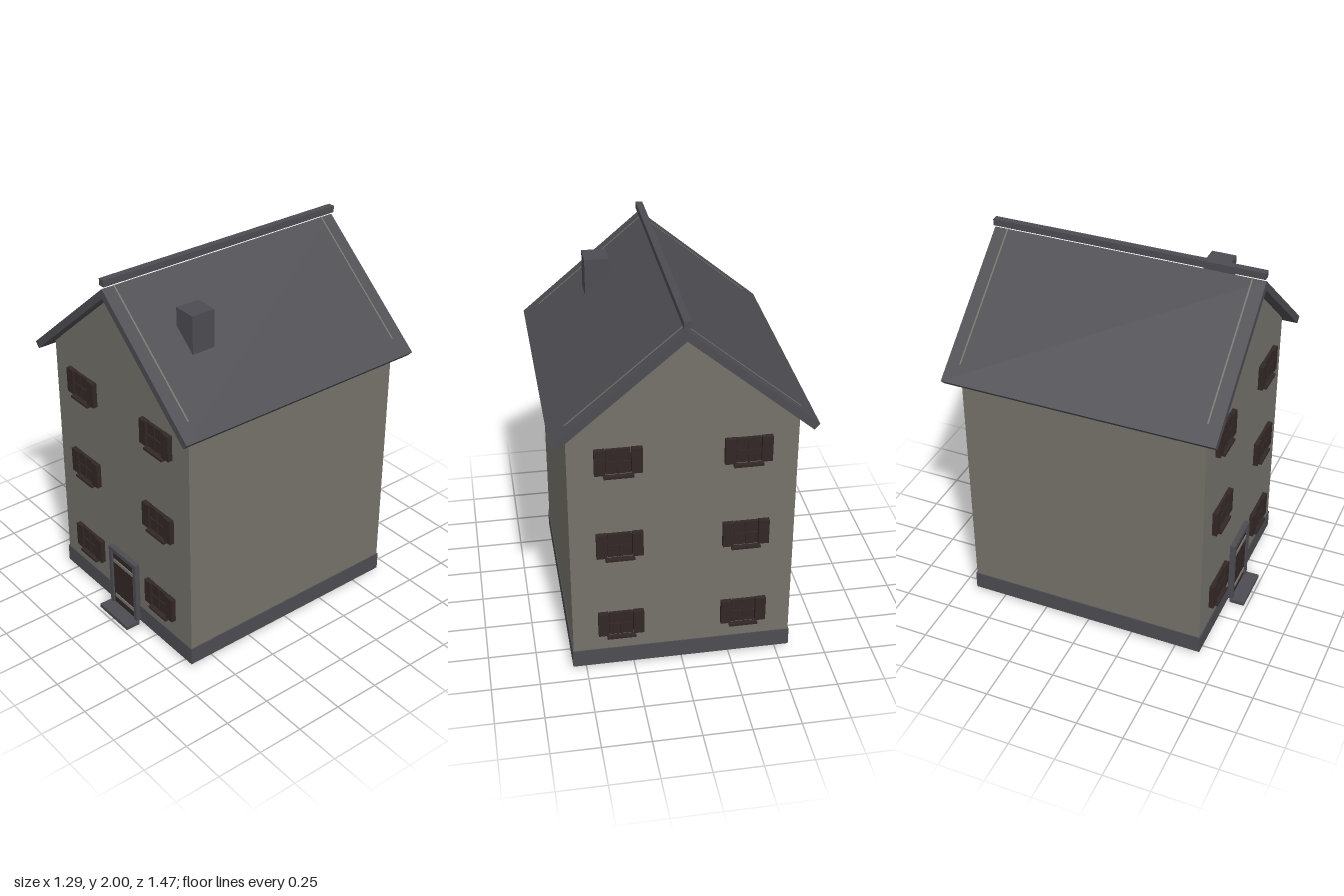
import * as THREE from 'three';

const mat = (name, color) => {
  const m = new THREE.MeshStandardMaterial({ color });
  m.name = name;
  return m;
};

export function createModel() {
  const house = new THREE.Group();
  house.name = 'house';
  const plaster = mat('taupe plaster', 0x75726a);
  const slate = mat('slate grey', 0x4d4c52);
  const wood = mat('dark brown wood', 0x332727);
  const metal = mat('pale trim', 0x7b766f);

  const zMid = -0.0125; // body sits slightly back to leave room for the doorstep
  const wallHalf = 0.649;

  // Box given by its limits on each axis
  const box = (parent, name, m, [x0, x1], [y0, y1], [z0, z1]) => {
    const mesh = new THREE.Mesh(new THREE.BoxGeometry(x1 - x0, y1 - y0, z1 - z0), m);
    mesh.position.set((x0 + x1) / 2, (y0 + y1) / 2, (z0 + z1) / 2);
    mesh.name = name;
    parent.add(mesh);
    return mesh;
  };

  // Outline in x/y extruded from z0 to z1
  const prism = (name, m, points, z0, z1) => {
    const shape = new THREE.Shape(points.map(([x, y]) => new THREE.Vector2(x, y)));
    const mesh = new THREE.Mesh(
      new THREE.ExtrudeGeometry(shape, { depth: z1 - z0, bevelEnabled: false }), m);
    mesh.position.z = z0;
    mesh.name = name;
    house.add(mesh);
  };

  // Body
  box(house, 'walls', plaster, [-0.565, 0.565], [0.019, 1.472], [zMid - wallHalf, zMid + wallHalf]);
  box(house, 'foundation', slate, [-0.57, 0.57], [0.02, 0.117],
    [zMid - wallHalf - 0.005, zMid + wallHalf + 0.005]);

  // Gables: thin plates whose upper edges just show through the roof
  const gable = [[-0.567, 1.474], [0.567, 1.474], [0, 1.9515]];
  prism('frontGable', plaster, gable, zMid + wallHalf - 0.003, zMid + wallHalf + 0.005);
  prism('backGable', plaster, gable, zMid - wallHalf - 0.005, zMid - wallHalf + 0.003);

  // Roof slopes, floating ridge cap and chimney
  const roofZ = [zMid - 0.72, zMid + 0.72];
  prism('roof', slate, [[0, 1.95], [-0.645, 1.406], [-0.618, 1.377], [0, 1.9],
    [0.618, 1.377], [0.645, 1.406]], ...roofZ);
  box(house, 'ridgeCap', slate, [-0.018, 0.018], [1.965, 2], roofZ);
  box(house, 'chimney', slate, [0.22, 0.345], [1.62, 1.86], [0.31, 0.44]);

  // Shuttered window, built with its back on z = 0 and its lower edge on y = 0
  const makeWindow = () => {
    const w = new THREE.Group();
    w.name = 'window';
    box(w, 'pane', wood, [-0.06, 0.06], [0.002, 0.136], [-0.005, 0.016]);
    box(w, 'mullion', wood, [-0.004, 0.004], [0.002, 0.136], [0.016, 0.022]);
    box(w, 'glazingBar', wood, [-0.06, 0.06], [0.065, 0.073], [0.016, 0.022]);
    for (const s of [-1, 1]) {
      box(w, 'shutter', wood, [s * 0.09 - 0.027, s * 0.09 + 0.027], [0, 0.138], [0, 0.026]);
    }
    box(w, 'sill', wood, [-0.074, 0.074], [-0.017, -0.005], [0.01, 0.036]);
    return w;
  };
  for (const side of [1, -1]) {
    for (const y of [0.217, 0.705, 1.192]) {
      for (const x of [-0.317, 0.317]) {
        const w = makeWindow();
        w.position.set(x, y, zMid + side * wallHalf);
        w.rotation.y = side > 0 ? 0 : Math.PI;
        house.add(w);
      }
    }
  }

  // Front door
  const door = new THREE.Group();
  door.name = 'door';
  const frameZ = [0.63, 0.665];
  for (const s of [-1, 1]) {
    box(door, 'doorPost', slate, [s * 0.1075 - 0.0125, s * 0.1075 + 0.0125], [0.02, 0.387], frameZ);
  }
  box(door, 'doorLintel', slate, [-0.095, 0.095], [0.362, 0.387], frameZ);
  box(door, 'doorLeaf', wood, [-0.095, 0.095], [0.022, 0.362], [0.63, 0.655]);
  for (const y of [0.075, 0.305]) {
    box(door, 'doorStrip', metal, [-0.085, 0.085], [y - 0.01, y + 0.01], [0.654, 0.66]);
  }
  box(door, 'doorstep', slate, [-0.125, 0.125], [0, 0.022], [0.652, 0.733]);
  house.add(door);

  return house;
}
